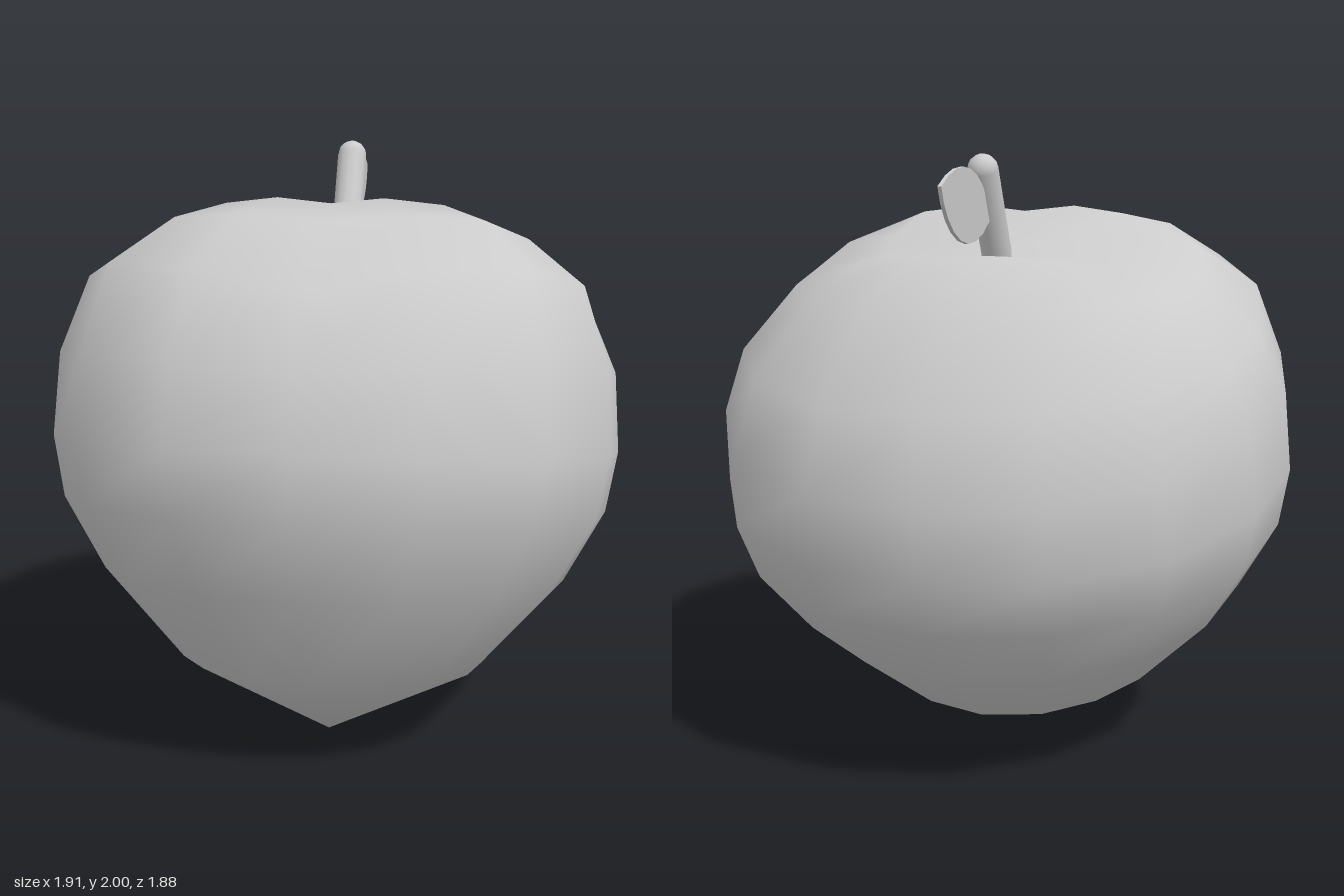
import * as THREE from 'three';

const SIDES = 16;
const material = new THREE.MeshStandardMaterial({ color: 0xcccccc, side: THREE.DoubleSide });

// Tilted rings from tip to stem hollow:
// [front z, front y, back z, back y, half width, drop of the sides, squareness, lift of the front shoulders]
const RINGS = [
  [0.665, 0.365, -0.33, 0.15, 0.52, 0, 0, 0],
  [0.865, 0.72, -0.66, 0.39, 0.79, 0, 0.01, 0],
  [0.945, 0.98, -0.84, 0.6, 0.92, 0, 0.03, 0],
  [0.94, 1.18, -0.92, 0.78, 0.955, -0.01, 0.04, 0],
  [0.87, 1.4, -0.94, 1.0, 0.935, -0.05, 0.045, 0.03],
  [0.71, 1.6, -0.88, 1.26, 0.85, -0.01, 0.045, 0.1],
  [0.41, 1.78, -0.68, 1.54, 0.66, 0.04, 0.05, 0.035],
  [0.16, 1.815, -0.46, 1.69, 0.4, 0.09, 0.25, 0.025],
];

// Fruit body: rings joined between two pole points
function makeFruit() {
  const pos = [0, 0, 0.22];
  const index = [];
  for (const [fz, fy, bz, by, w, drop, square, lift] of RINGS) {
    for (let i = 0; i < SIDES; i++) {
      const a = (i / SIDES) * Math.PI * 2;
      // squared corners, a little fuller at the front left than at the back right
      const k = 1 + (square + 0.025 * Math.cos(a - Math.PI / 4)) * Math.sin(2 * a) ** 2;
      const c = Math.cos(a) * k, s = Math.sin(a) * k;
      const shoulder = a < Math.PI ? lift * Math.abs(Math.sin(2 * a)) : 0;
      pos.push(
        c * w,
        (fy + by) / 2 + (s * (fy - by)) / 2 - drop * Math.cos(a) ** 4 + shoulder,
        (fz + bz) / 2 + (s * (fz - bz)) / 2
      );
    }
  }
  pos.push(0, 1.675, -0.14);
  const top = pos.length / 3 - 1;
  const at = (k, i) => 1 + k * SIDES + (i % SIDES);
  const last = RINGS.length - 1;
  for (let i = 0; i < SIDES; i++) {
    index.push(0, at(0, i), at(0, i + 1));
    for (let k = 0; k < last; k++) {
      index.push(at(k, i), at(k + 1, i), at(k, i + 1));
      index.push(at(k, i + 1), at(k + 1, i), at(k + 1, i + 1));
    }
    index.push(at(last, i), top, at(last, i + 1));
  }
  const geo = new THREE.BufferGeometry();
  geo.setAttribute('position', new THREE.Float32BufferAttribute(pos, 3));
  geo.setIndex(index);
  geo.computeVertexNormals();
  return geo;
}

// Stem: rounded rod leaning backwards
function makeStem() {
  const from = new THREE.Vector3(0, 1.68, -0.155);
  const to = new THREE.Vector3(0, 1.95, -0.295);
  const dir = to.clone().sub(from);
  const geo = new THREE.CapsuleGeometry(0.05, dir.length(), 4, 12);
  const turn = new THREE.Quaternion().setFromUnitVectors(new THREE.Vector3(0, 1, 0), dir.normalize());
  geo.applyQuaternion(turn);
  const mid = from.add(to).multiplyScalar(0.5);
  return geo.translate(mid.x, mid.y, mid.z);
}

// Leaf: thin upright blade, drawn backwards from the stem
function makeLeaf() {
  const shape = new THREE.Shape();
  shape.moveTo(0.25, 1.8);
  shape.bezierCurveTo(0.33, 1.97, 0.53, 2.0, 0.7, 1.9);
  shape.bezierCurveTo(0.66, 1.76, 0.46, 1.65, 0.25, 1.8);
  const geo = new THREE.ExtrudeGeometry(shape, { depth: 0.012, bevelEnabled: false, curveSegments: 8 });
  return geo.rotateY(Math.PI / 2).translate(-0.012, 0, 0);
}

export function createModel() {
  const model = new THREE.Group();
  model.name = 'fruit';
  const parts = { body: makeFruit(), stem: makeStem(), leaf: makeLeaf() };
  for (const [name, geo] of Object.entries(parts)) {
    const mesh = new THREE.Mesh(geo, material);
    mesh.name = name;
    model.add(mesh);
  }
  return model;
}
